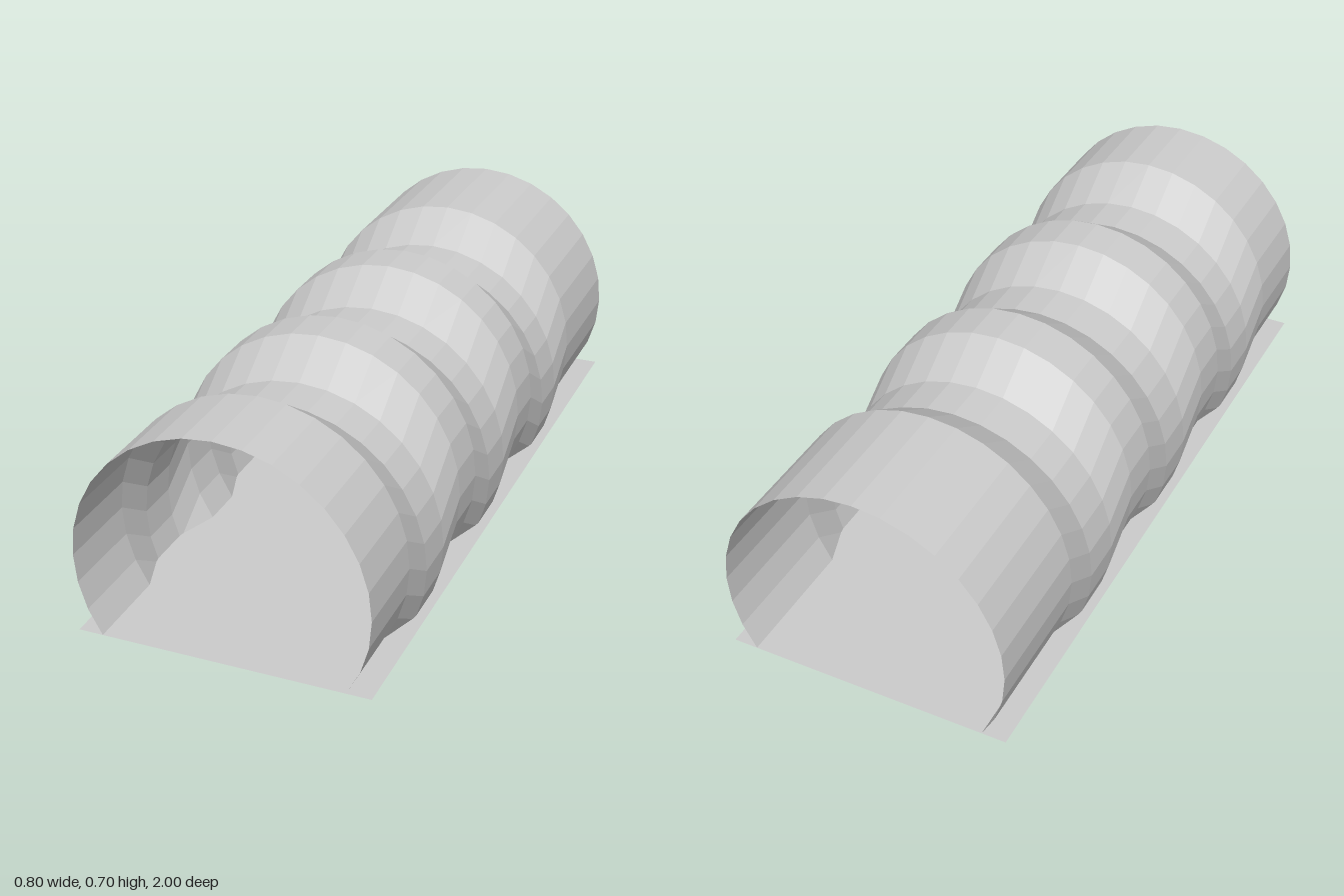
import * as THREE from 'three';

const RADIUS = 0.4;
const SEGMENTS = 22;              // arch facets
const STEP = Math.PI / 16;        // angle of one facet
const FULL_Y = 0.3022;            // arch centre height on the raised runs
const DIP = 0.08;                 // drop of the arch in the grooves
const FLOOR_Y = 0.08;

// Stations along the tunnel: [z, sunken?]
const STATIONS = [[1, 0]];
for (const z of [0.75, 0.25, -0.25]) {
  STATIONS.push([z, 0], [z - 0.125, 1], [z - 0.25, 1], [z - 0.375, 0]);
}
STATIONS.push([-1, 0]);

// Open arch lofted through the stations
function archGeometry() {
  const positions = [];
  const indices = [];
  const row = SEGMENTS + 1;
  STATIONS.forEach(([z, sunken], s) => {
    const cy = FULL_Y - DIP * sunken;
    for (let i = 0; i <= SEGMENTS; i++) {
      const a = (i - SEGMENTS / 2) * STEP;
      positions.push(RADIUS * Math.sin(a), cy + RADIUS * Math.cos(a), z);
      if (s > 0 && i > 0) {
        const d = s * row + i, c = d - 1, b = d - row, a0 = b - 1;
        indices.push(a0, b, d, a0, d, c);
      }
    }
  });
  const geometry = new THREE.BufferGeometry();
  geometry.setAttribute('position', new THREE.Float32BufferAttribute(positions, 3));
  geometry.setIndex(indices);
  // Separate the facets for crisp shading
  const faceted = geometry.toNonIndexed();
  faceted.computeVertexNormals();
  return faceted;
}

export function createModel() {
  const group = new THREE.Group();
  group.name = 'ribbedTunnel';
  const material = new THREE.MeshStandardMaterial({
    color: 0xcccccc, flatShading: true, side: THREE.DoubleSide,
  });

  const arch = new THREE.Mesh(archGeometry(), material);
  arch.name = 'tunnelArch';
  group.add(arch);

  // Flat floor, which the grooves poke through
  const floor = new THREE.Mesh(new THREE.PlaneGeometry(2 * RADIUS, 2).rotateX(-Math.PI / 2), material);
  floor.name = 'floor';
  floor.position.y = FLOOR_Y;
  group.add(floor);

  return group;
}
